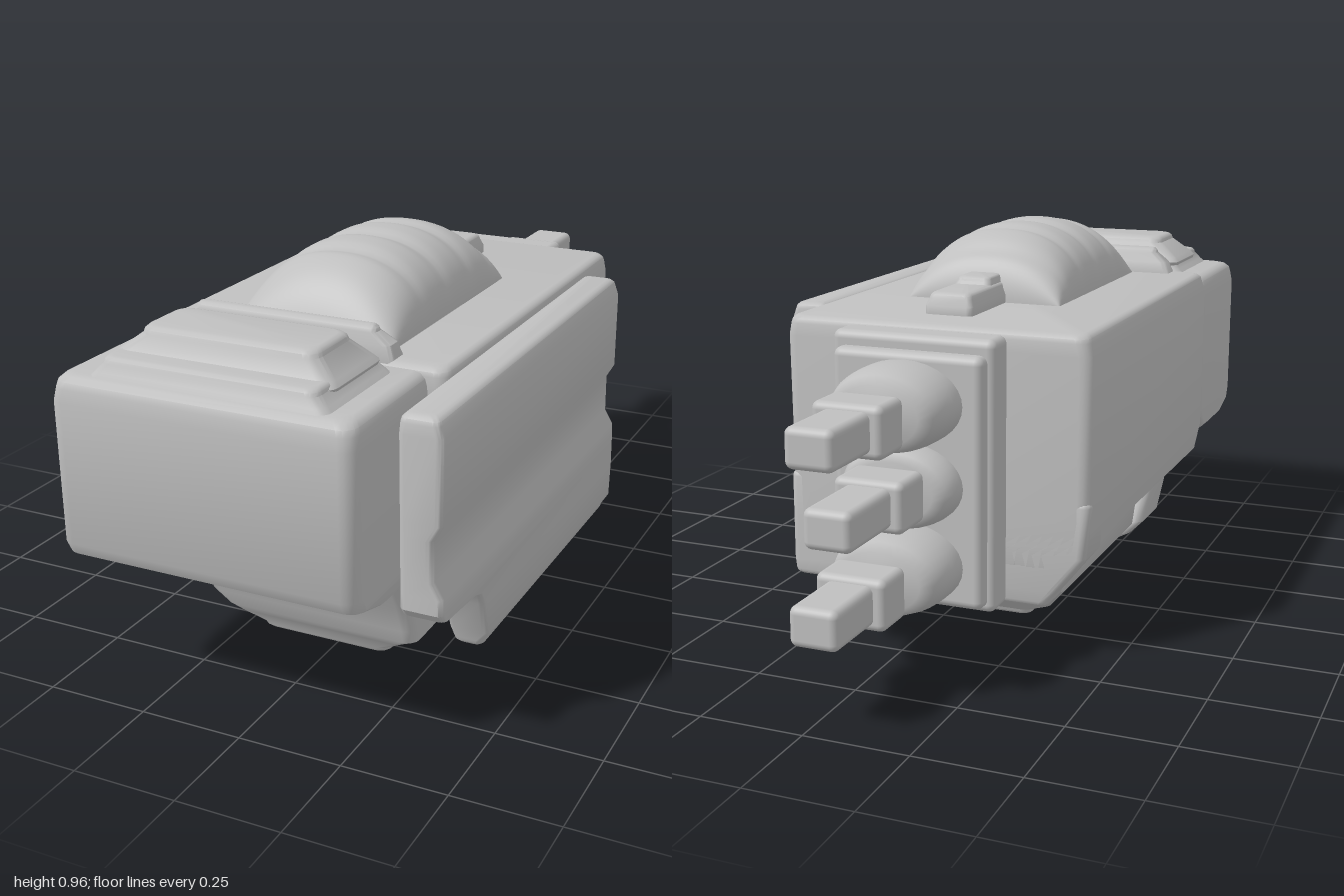
import * as THREE from 'three';
import { toCreasedNormals } from 'three/addons/utils/BufferGeometryUtils.js';
import { RoundedBoxGeometry } from 'three/addons/geometries/RoundedBoxGeometry.js';

const grey = new THREE.MeshStandardMaterial({ color: 0xbfbfbf });
grey.name = 'plain grey';

function add(parent, name, geometry, x = 0, y = 0, z = 0) {
  const mesh = new THREE.Mesh(geometry, grey);
  mesh.name = name;
  mesh.position.set(x, y, z);
  parent.add(mesh);
  return mesh;
}

// Stacks rounded rectangles given as [y, x0, x1, z0, z1]; r rounds the upright edges, e the ends.
function loft(rows, r, e) {
  const inset = (row, y, d) => [y, row[1] + d, row[2] - d, row[3] + d, row[4] - d];
  const first = rows[0], last = rows[rows.length - 1];
  const start = [], end = [];
  for (let k = 0; k <= 3; k++) {
    const a = (k / 3) * Math.PI / 2;
    const dy = e * (1 - Math.cos(a)), d = e * (1 - Math.sin(a));
    start.push(inset(first, first[0] + dy, d));
    end.unshift(inset(last, last[0] - dy, d));
  }
  const all = [...start, ...rows.slice(1, -1), ...end];
  const pos = [], index = [], seg = 4, n = 4 * (seg + 1);
  for (const [y, x0, x1, z0, z1] of all) {
    const q = Math.min(r, (x1 - x0) * 0.45, (z1 - z0) * 0.45);
    const corners = [[x1 - q, z1 - q], [x0 + q, z1 - q], [x0 + q, z0 + q], [x1 - q, z0 + q]];
    corners.forEach(([cx, cz], c) => {
      for (let s = 0; s <= seg; s++) {
        const a = (c + s / seg) * Math.PI / 2;
        pos.push(cx + q * Math.cos(a), y, cz + q * Math.sin(a));
      }
    });
  }
  for (let j = 0; j < all.length - 1; j++) {
    for (let i = 0; i < n; i++) {
      const a = j * n + i, b = j * n + (i + 1) % n;
      index.push(a, a + n, b, a + n, b + n, b);
    }
  }
  const top = (all.length - 1) * n;
  for (let i = 1; i < n - 1; i++) index.push(0, i, i + 1, top, top + i + 1, top + i);
  const g = new THREE.BufferGeometry();
  g.setAttribute('position', new THREE.Float32BufferAttribute(pos, 3));
  g.setIndex(index);
  return toCreasedNormals(g, 0.6);
}

// Ribbed dome: a grid raised by a rounded height rule
function domeGeometry() {
  const g = new THREE.PlaneGeometry(2, 2, 40, 64);
  g.rotateX(-Math.PI / 2);
  const p = g.attributes.position;
  for (let i = 0; i < p.count; i++) {
    const u = Math.sin(p.getX(i) * Math.PI / 2), v = Math.sin(p.getZ(i) * Math.PI / 2);
    const z = 0.262 + 0.323 * v;
    const fx = Math.pow(Math.max(0, 1 - Math.abs(u) ** 2.2), 0.45);
    const fz = Math.pow(Math.max(0, 1 - Math.abs(v) ** 4), v > 0 ? 0.8 : 0.5);
    let groove = 0;
    for (const c of [0, 0.13, 0.265, 0.4]) groove += Math.exp(-(((z - c) / 0.022) ** 2));
    p.setXYZ(i, -0.032 + 0.207 * u, 0.785 + fx * fz * (0.18 - 0.012 * groove), z);
  }
  g.computeVertexNormals();
  return g;
}

// One rear plug pointing to -z: bulb, neck pin, collar and flat tip
function plug(y, bulbEnd, collarStart, collarEnd, tipEnd) {
  const group = new THREE.Group();
  group.name = 'rearPlug';
  group.position.set(-0.03, y, 0);
  const len = bulbEnd - 0.5;
  const profile = [[0.092, 0], [0.1, 0.2], [0.1, 0.45], [0.097, 0.65], [0.088, 0.85], [0.07, 0.97], [0, 1]]
    .map(([r, t]) => new THREE.Vector2(r, t * len));
  // lathe axis is y, so reverse the profile after turning it to -z
  const bulb = new THREE.LatheGeometry(profile, 32);
  bulb.rotateX(-Math.PI / 2);
  bulb.scale(1.45, 1, 1);
  add(group, 'plugBulb', bulb, 0, 0, -0.5);
  const pin = new THREE.CylinderGeometry(0.025, 0.025, 0.14, 16);
  pin.rotateX(Math.PI / 2);
  add(group, 'plugPin', pin, 0, 0, -bulbEnd - 0.02);
  const box = (name, w, h, a, b) =>
    add(group, name, new RoundedBoxGeometry(w, h, b - a, 3, 0.018), 0, 0, -(a + b) / 2);
  box('plugCollar', 0.17, 0.12, collarStart, collarEnd);
  box('plugTip', 0.115, 0.092, collarEnd - 0.04, tipEnd);
  return group;
}

export function createModel() {
  const model = new THREE.Group();
  model.name = 'machineHousing';

  // Main body and its rear flange
  add(model, 'body', loft([
    [0.21, -0.36, 0.33, -0.42, 0.58], [0.28, -0.43, 0.333, -0.42, 0.63],
    [0.35, -0.44, 0.335, -0.42, 0.65], [0.74, -0.44, 0.34, -0.42, 0.65],
    [0.79, -0.43, 0.335, -0.418, 0.65]], 0.03, 0.02));
  add(model, 'rearFlange', loft([
    [0.13, -0.34, 0.335, -0.42, -0.29], [0.17, -0.36, 0.338, -0.42, -0.29],
    [0.26, -0.43, 0.338, -0.42, -0.28], [0.4, -0.44, 0.338, -0.42, -0.28]], 0.02, 0.015));

  // Front head with its stepped cap
  add(model, 'head', loft([
    [0.312, -0.435, 0.285, 0.66, 0.8], [0.335, -0.44, 0.29, 0.65, 0.9],
    [0.36, -0.44, 0.293, 0.62, 0.985], [0.39, -0.44, 0.293, 0.6, 1],
    [0.72, -0.44, 0.293, 0.6, 1], [0.78, -0.435, 0.29, 0.6, 0.995]], 0.035, 0.03));
  add(model, 'headStep', loft([
    [0.75, -0.37, 0.235, 0.66, 0.975], [0.79, -0.345, 0.21, 0.67, 0.965],
    [0.823, -0.33, 0.19, 0.68, 0.955]], 0.025, 0.015));
  add(model, 'headCap', loft([
    [0.79, -0.34, 0.2, 0.67, 0.91], [0.82, -0.33, 0.19, 0.68, 0.9],
    [0.876, -0.28, 0.15, 0.71, 0.88]], 0.03, 0.018));
  add(model, 'headBar', loft([
    [0.76, -0.35, 0.21, 0.575, 0.645], [0.82, -0.33, 0.195, 0.585, 0.64],
    [0.86, -0.3, 0.16, 0.595, 0.635]], 0.015, 0.015));

  // Ribbed dome and the tab behind it
  add(model, 'ribbedDome', domeGeometry());
  add(model, 'domeTab', loft([
    [0.77, -0.093, 0.032, -0.285, -0.03], [0.81, -0.093, 0.032, -0.283, -0.03],
    [0.843, -0.085, 0.025, -0.275, -0.03]], 0.015, 0.015));
  add(model, 'tabRise', loft([
    [0.8, -0.085, 0.025, -0.16, 0], [0.862, -0.075, 0.015, -0.125, 0]], 0.015, 0.012));

  // Side panel with a long groove and a cut-away lower front
  add(model, 'sidePanel', loft([
    [0.135, 0.345, 0.42, -0.205, 0.635], [0.18, 0.34, 0.437, -0.21, 0.645],
    [0.27, 0.34, 0.44, -0.21, 0.675], [0.305, 0.34, 0.44, -0.21, 0.7],
    [0.318, 0.34, 0.44, -0.21, 0.74], [0.33, 0.34, 0.44, -0.21, 0.885],
    [0.35, 0.34, 0.44, -0.21, 0.9], [0.385, 0.34, 0.438, -0.21, 0.9],
    [0.42, 0.34, 0.418, -0.21, 0.9], [0.515, 0.34, 0.418, -0.21, 0.9],
    [0.55, 0.34, 0.438, -0.21, 0.9], [0.74, 0.34, 0.44, -0.21, 0.9],
    [0.783, 0.342, 0.432, -0.208, 0.898]], 0.015, 0.018));

  // Sloping front foot and the block under the body
  add(model, 'frontFoot', loft([
    [0.005, -0.21, 0.14, 0.37, 0.55], [0.05, -0.27, 0.19, 0.37, 0.568],
    [0.065, -0.3, 0.222, 0.375, 0.575], [0.1, -0.335, 0.222, 0.39, 0.585],
    [0.17, -0.345, 0.222, 0.42, 0.61], [0.34, -0.355, 0.225, 0.5, 0.705]], 0.03, 0.015));
  add(model, 'underBlock', loft([
    [0.005, -0.21, 0.14, -0.175, 0.338], [0.05, -0.27, 0.185, -0.215, 0.34],
    [0.12, -0.33, 0.22, -0.28, 0.34], [0.25, -0.345, 0.22, -0.285, 0.34]], 0.025, 0.015));

  // Rear mounting plates
  add(model, 'rearPlate', new RoundedBoxGeometry(0.41, 0.65, 0.09, 3, 0.02), -0.033, 0.455, -0.455);
  add(model, 'rearPlateStep', new RoundedBoxGeometry(0.375, 0.6, 0.08, 3, 0.02), -0.033, 0.445, -0.495);

  // Three plugs, the middle one shorter
  model.add(plug(0.63, 0.69, 0.715, 0.83, 1));
  model.add(plug(0.437, 0.615, 0.61, 0.735, 0.93));
  model.add(plug(0.245, 0.69, 0.715, 0.83, 1));

  return model;
}
